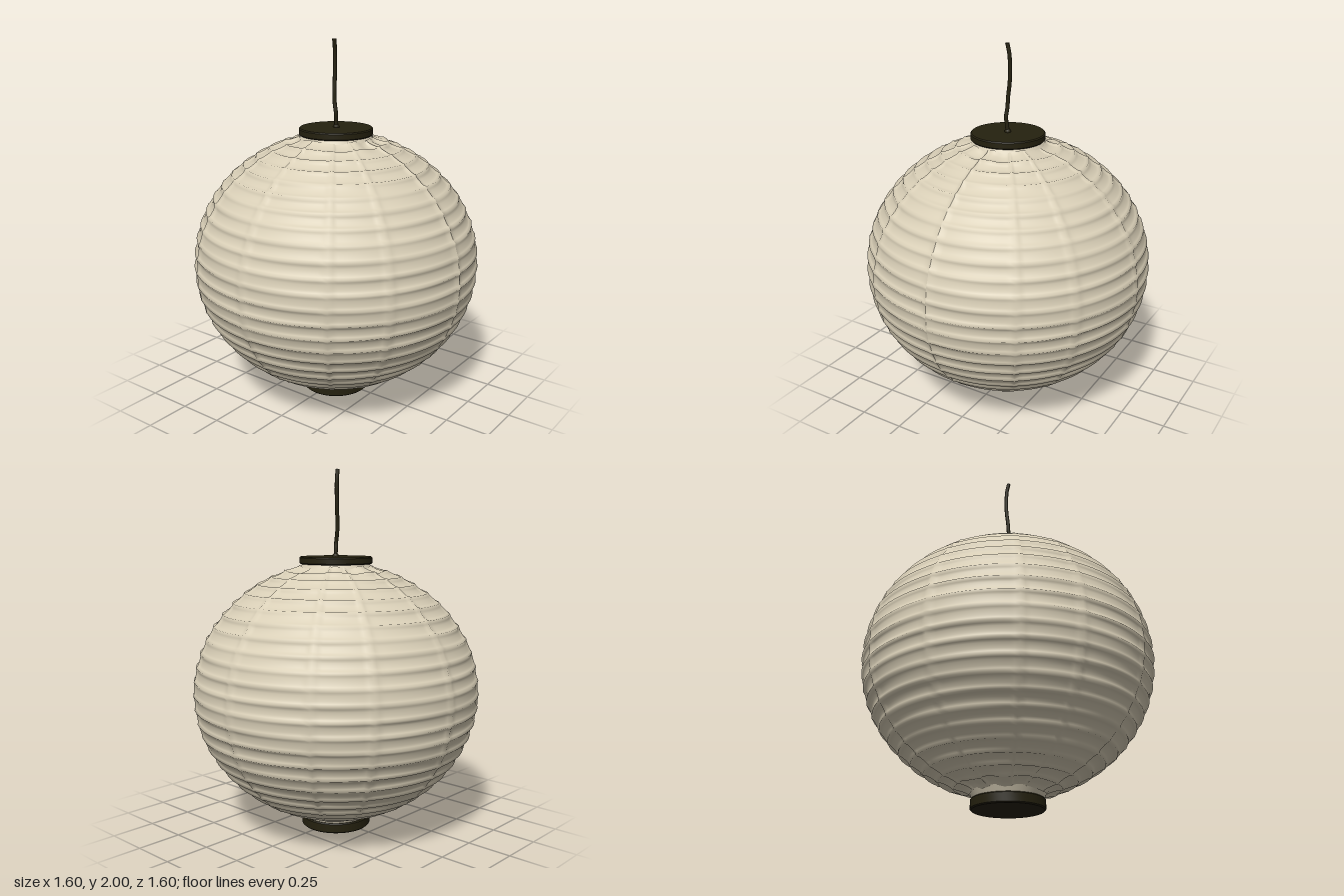
import * as THREE from 'three';

const paper = new THREE.MeshStandardMaterial({ color: 0xd9cfb7, side: THREE.DoubleSide });
paper.name = 'cream paper';
const dark = new THREE.MeshStandardMaterial({ color: 0x25210f });
dark.name = 'dark brown';

const CENTER_Y = 0.78, RADIUS = 0.795, HALF_HEIGHT = 0.72;
const BANDS = 24, ROWS = 6, COLUMNS = 192;
const T_END = Math.acos(0.25);
const SEAMS = [0, 33.5, 56.5, 90].map(THREE.MathUtils.degToRad);

// 1 on an upright seam, fading to 0 away from it
function seamAt(phi) {
  const a = Math.asin(Math.min(1, Math.abs(Math.sin(phi))));
  const d = Math.min(...SEAMS.map((s) => Math.abs(a - s)));
  return Math.exp(-((d / 0.022) ** 2));
}

// Paper globe: hoops stand out, the paper sags between them and is held up at the seams
function paperShade() {
  const profile = [];
  const steps = BANDS * ROWS;
  for (let i = 0; i <= steps; i++) {
    const t = -T_END + (2 * T_END * i) / steps;
    profile.push(new THREE.Vector2(RADIUS * Math.cos(t), CENTER_Y + HALF_HEIGHT * Math.sin(t)));
  }
  const geometry = new THREE.LatheGeometry(profile, COLUMNS);
  const pos = geometry.attributes.position;
  for (let i = 0; i < pos.count; i++) {
    const row = i % (steps + 1);
    const phi = (Math.floor(i / (steps + 1)) / COLUMNS) * Math.PI * 2;
    const t = -T_END + (2 * T_END * row) / steps;
    const u = (row % ROWS) / ROWS;
    const band = Math.floor(row / ROWS);
    const seam = seamAt(phi);
    const slack = 1 + 0.25 * Math.sin(3 * phi + band * 1.7);
    let push = -0.013 * Math.sqrt(4 * u * (1 - u)) * slack * (1 - 0.5 * seam) + 0.003 * seam;
    // Gathered wrinkles close to the two collars
    const gather = THREE.MathUtils.smoothstep(Math.abs(t), 1.12, 1.26);
    push += gather * 0.007 * Math.sin(7 * phi + 2 * Math.sin(2 * phi));
    const nr = Math.cos(t) * HALF_HEIGHT, ny = Math.sin(t) * RADIUS;
    const len = Math.hypot(nr, ny);
    const r = RADIUS * Math.cos(t) + (push * nr) / len;
    pos.setXYZ(i, r * Math.sin(phi), CENTER_Y + HALF_HEIGHT * Math.sin(t) + (push * ny) / len, r * Math.cos(phi));
  }
  geometry.computeVertexNormals();
  return geometry;
}

// Solid disc with a small bevel; each profile edge is kept crisp
function discGeometry(radius, y0, y1, bevel) {
  const p = [
    [0, y0], [radius - bevel, y0], [radius - bevel, y0], [radius, y0 + bevel], [radius, y0 + bevel],
    [radius, y1 - bevel], [radius, y1 - bevel], [radius - bevel, y1], [radius - bevel, y1], [0, y1],
  ].map(([x, y]) => new THREE.Vector2(x, y));
  const geometry = new THREE.LatheGeometry(p, 64);
  geometry.computeVertexNormals();
  return geometry;
}

export function createModel() {
  const group = new THREE.Group();
  group.name = 'paperLantern';
  const add = (name, geometry, material) => {
    const mesh = new THREE.Mesh(geometry, material);
    mesh.name = name;
    group.add(mesh);
    return mesh;
  };

  add('paperShade', paperShade(), paper);

  // Short paper necks joining the globe to the discs
  const neck = (name, y0, r0, y1, r1) =>
    add(name, new THREE.CylinderGeometry(r1, r0, y1 - y0, 64, 1, true).translate(0, (y0 + y1) / 2, 0), paper);
  neck('topNeck', 1.47, 0.2, 1.5, 0.18);
  neck('bottomNeck', 0.045, 0.18, 0.09, 0.2);

  add('topCap', discGeometry(0.202, 1.49, 1.53, 0.006), dark);
  add('bottomCap', discGeometry(0.195, 0, 0.057, 0.006), dark);

  // Slightly crooked hanging cord
  const path = new THREE.CatmullRomCurve3([
    [0, 1.52, 0.002], [-0.004, 1.57, 0.004], [-0.009, 1.61, 0.006], [-0.006, 1.66, -0.004],
    [-0.004, 1.72, -0.008], [0.004, 1.8, -0.011], [0.005, 1.9, -0.011], [0.002, 1.95, -0.009], [-0.008, 2, -0.006],
  ].map((p) => new THREE.Vector3(...p)));
  add('cord', new THREE.TubeGeometry(path, 48, 0.011, 10), dark);
  add('cordEnd', new THREE.CylinderGeometry(0.011, 0.011, 0.004, 10).translate(-0.008, 1.998, -0.006), dark);
  add('cordKnot', new THREE.SphereGeometry(0.018, 16, 10).translate(0, 1.532, 0.002), dark);

  return group;
}
